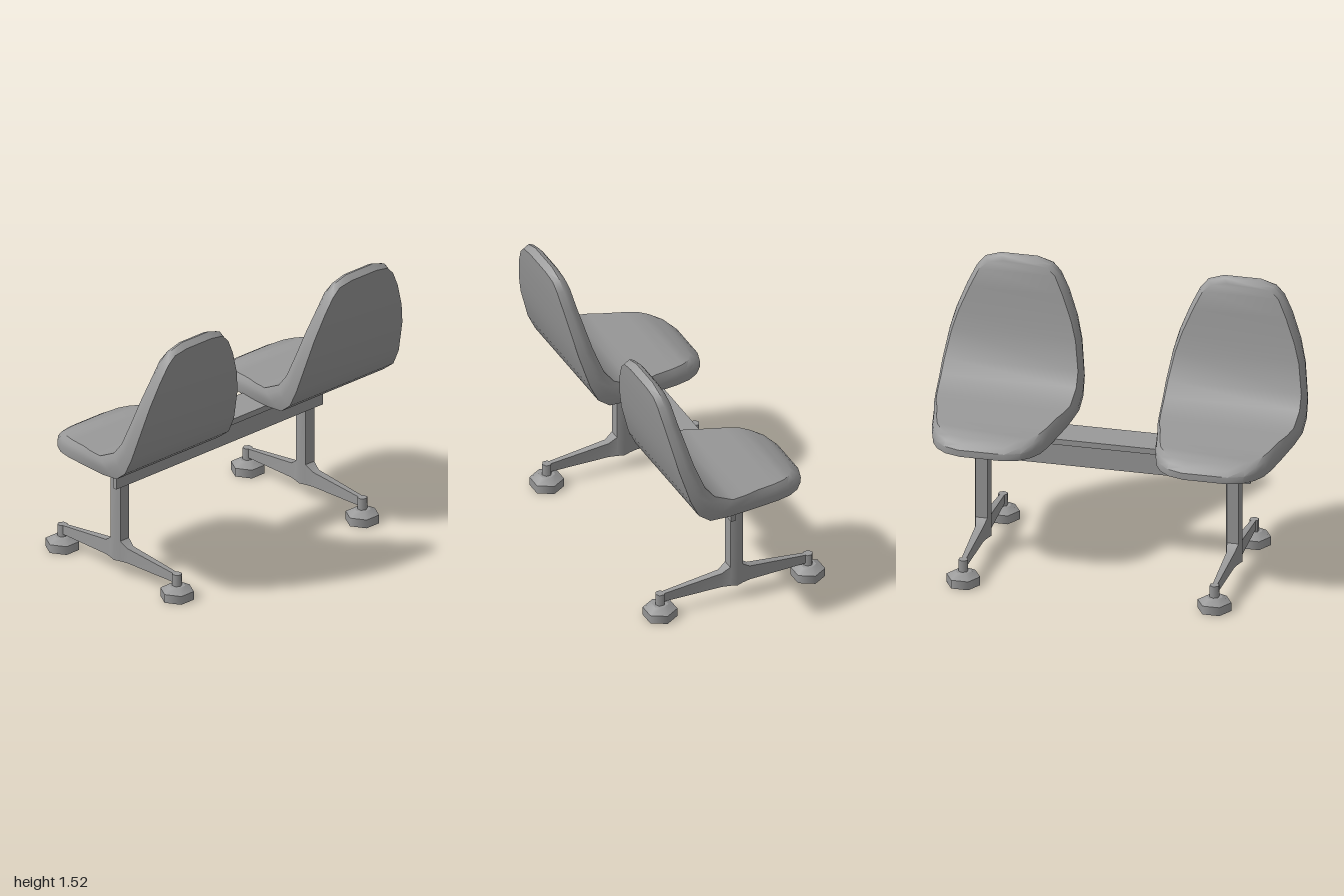
import * as THREE from 'three';
import { mergeGeometries, toCreasedNormals } from 'three/addons/utils/BufferGeometryUtils.js';

const grey = new THREE.MeshStandardMaterial({ color: 0x999999 });

function add(parent, name, geometry, x = 0, y = 0, z = 0) {
  const mesh = new THREE.Mesh(geometry, grey);
  mesh.name = name;
  mesh.position.set(x, y, z);
  parent.add(mesh);
  return mesh;
}

// Seat shell stations from backrest top to seat front:
// [outer z, outer y, inner z, inner y, half width, rim bulge]
const STATIONS = [
  [0.52, 1.49, 0.445, 1.485, 0.10, 0.028],
  [0.518, 1.475, 0.443, 1.47, 0.185, 0.016],
  [0.513, 1.43, 0.433, 1.43, 0.23, 0.004],
  [0.50, 1.34, 0.415, 1.33, 0.277, 0],
  [0.475, 1.2, 0.385, 1.2, 0.33, 0],
  [0.45, 1.08, 0.36, 1.10, 0.36, 0],
  [0.395, 0.89, 0.305, 0.95, 0.387, 0],
  [0.35, 0.795, 0.25, 0.88, 0.391, 0],
  [0.28, 0.74, 0.14, 0.825, 0.386, 0],
  [0.16, 0.722, 0.05, 0.82, 0.37, 0],
  [0, 0.713, -0.02, 0.815, 0.347, 0],
  [-0.15, 0.705, -0.13, 0.805, 0.322, 0],
  [-0.23, 0.701, -0.2, 0.80, 0.30, 0.004],
  [-0.29, 0.699, -0.25, 0.792, 0.264, 0.012],
  [-0.335, 0.697, -0.285, 0.785, 0.21, 0.021],
  [-0.36, 0.696, -0.30, 0.78, 0.125, 0.027],
];
// Rim layers from the outer to the inner skin: [depth, inset, share of bulge]
const LAYERS = [[0, 0.008, 0], [0.45, 0, 1], [0.75, 0.006, 0.8], [1, 0.023, 0]];

function shellGeometry() {
  const pos = [], index = [], n = LAYERS.length, ring = 2 * n;
  STATIONS.forEach(([bz, by, fz, fy, w, bulge], i) => {
    const top = i < STATIONS.length / 2;
    for (let k = 0; k < ring; k++) {
      const [t, inset, share] = LAYERS[k < n ? k : ring - 1 - k];
      const push = bulge * share;
      pos.push((k < n ? -1 : 1) * (w - inset),
        by + (fy - by) * t + (top ? push : 0),
        bz + (fz - bz) * t - (top ? 0 : push));
    }
  });
  const last = STATIONS.length - 1;
  for (let i = 0; i < last; i++) {
    for (let k = 0; k < ring; k++) {
      const a = i * ring + k, b = i * ring + (k + 1) % ring;
      index.push(a, b, a + ring, b, b + ring, a + ring);
    }
  }
  // Close both ends with strips from left to right
  for (let k = 0; k < n - 1; k++) {
    const r = ring - 1 - k, o = last * ring;
    index.push(o + k, o + k + 1, o + r, o + k + 1, o + r - 1, o + r);
    index.push(k, r, k + 1, k + 1, r, r - 1);
  }
  const geometry = new THREE.BufferGeometry();
  geometry.setAttribute('position', new THREE.Float32BufferAttribute(pos, 3));
  geometry.setIndex(index);
  return toCreasedNormals(geometry, 0.72);
}

// Post and two arms: slices along z, each [z, bottom, top, half width] at both ends
const SLICES = [
  [[0, 0.09, 0.69, 0.045], [0.037, 0.09, 0.69, 0.032]],
  [[0.037, 0.09, 0.207, 0.032], [0.082, 0.09, 0.175, 0.022]],
  [[0.082, 0.09, 0.175, 0.022], [0.425, 0.09, 0.14, 0.013]],
];

function legGeometry() {
  const parts = [];
  for (const [near, far] of SLICES) {
    const slice = new THREE.BoxGeometry(2, 1, 1);
    const p = slice.attributes.position;
    for (let i = 0; i < p.count; i++) {
      const [z, bottom, top, half] = p.getZ(i) < 0 ? near : far;
      p.setXYZ(i, p.getX(i) * half, p.getY(i) < 0 ? bottom : top, z);
    }
    parts.push(slice, slice.clone().rotateY(Math.PI));
  }
  return toCreasedNormals(mergeGeometries(parts), 0.75);
}

function hexagon(top, bottom, height, turn = Math.PI / 6) {
  return new THREE.CylinderGeometry(top, bottom, height, 6).rotateY(turn);
}

function makeLeg() {
  const leg = new THREE.Group();
  leg.name = 'leg';
  add(leg, 'postAndArms', legGeometry());
  for (const side of [-1, 1]) {
    const foot = new THREE.Group();
    foot.name = side > 0 ? 'rearFoot' : 'frontFoot';
    foot.position.z = side * 0.435;
    add(foot, 'footPad', hexagon(0.092, 0.092, 0.048), 0, 0.024, 0);
    add(foot, 'footCone', hexagon(0.045, 0.092, 0.027), 0, 0.0615, 0);
    add(foot, 'footStem', hexagon(0.027, 0.027, 0.07, 0), 0, 0.106, 0);
    leg.add(foot);
  }
  return leg;
}

export function createModel() {
  const model = new THREE.Group();
  model.name = 'twinSeatBench';

  // Seats
  const shell = shellGeometry();
  add(model, 'rightSeat', shell, -0.609, 0, 0);
  add(model, 'leftSeat', shell, 0.609, 0, 0);

  // Beam: flat plate with a web below
  add(model, 'beamPlate', new THREE.BoxGeometry(1.526, 0.032, 0.2), 0, 0.701, 0.038);
  add(model, 'beamWeb', new THREE.BoxGeometry(1.526, 0.16, 0.025), 0, 0.61, 0.0375);

  // Legs
  for (const side of [-1, 1]) {
    const leg = makeLeg();
    leg.position.set(side * 0.685, 0, -0.005);
    model.add(leg);
  }
  return model;
}
